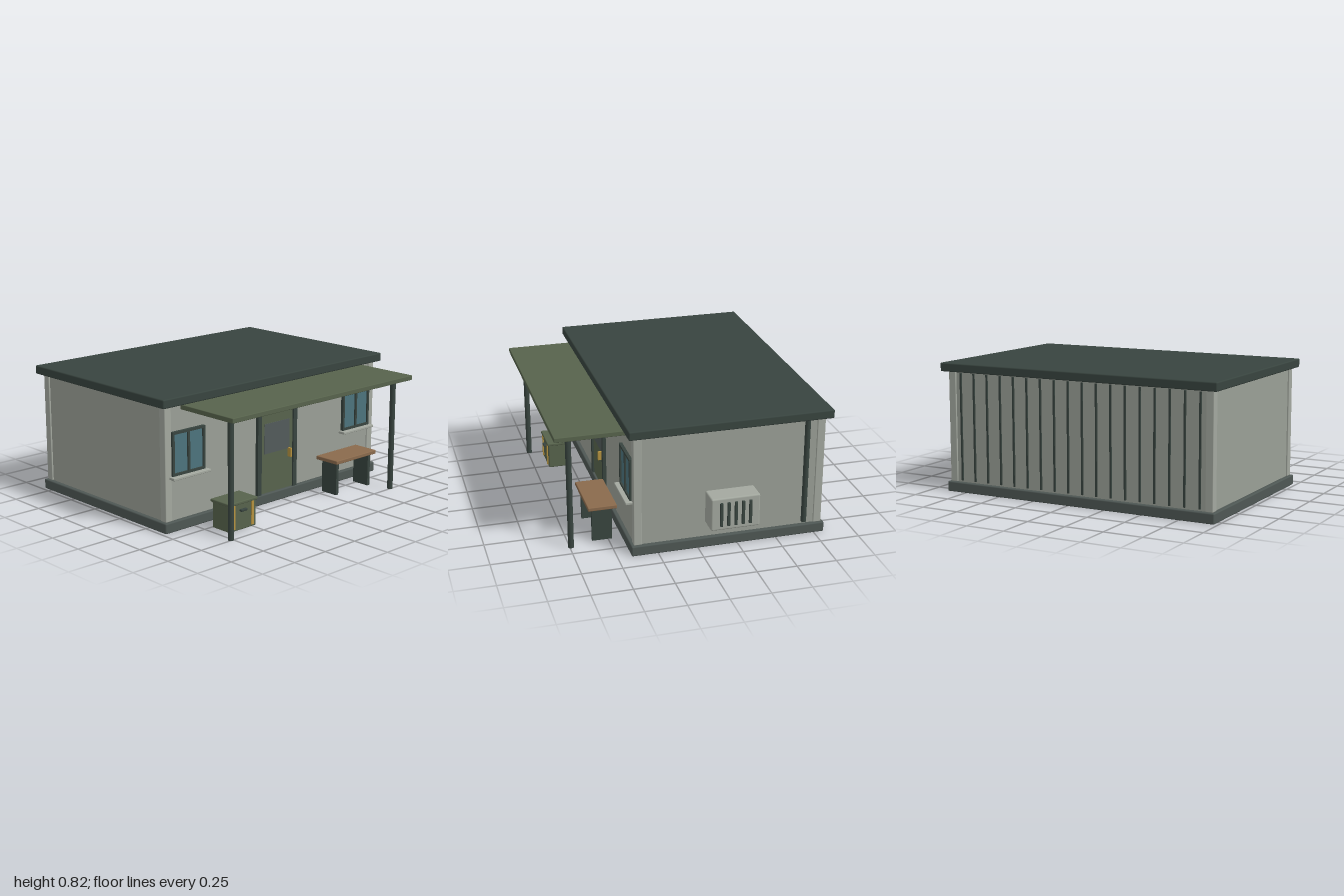
import * as THREE from 'three';
import { RoundedBoxGeometry } from 'three/addons/geometries/RoundedBoxGeometry.js';

const COLORS = {
  wall: 0x9a9f96, trim: 0xa3a89f, dark: 0x38443f, base: 0x4e5754, green: 0x57634c,
  wood: 0x8a6a4c, brass: 0xb5923f, glass: 0x4c737d, smoked: 0x525b5a,
};
const materials = Object.fromEntries(Object.entries(COLORS).map(
  ([key, color]) => [key, new THREE.MeshStandardMaterial({ color })]));

const CX = -0.048; // centre line of the building

// Box given by its limits on each axis; a radius rounds its edges.
function box(parent, name, mat, [x0, x1], [y0, y1], [z0, z1], radius = 0) {
  const size = [x1 - x0, y1 - y0, z1 - z0];
  const geometry = radius
    ? new RoundedBoxGeometry(...size, 2, radius)
    : new THREE.BoxGeometry(...size);
  const mesh = new THREE.Mesh(geometry, materials[mat]);
  mesh.position.set((x0 + x1) / 2, (y0 + y1) / 2, (z0 + z1) / 2);
  mesh.name = name;
  parent.add(mesh);
  return mesh;
}

// Upright round post.
function post(parent, name, mat, x, z, radius, y0, y1) {
  const mesh = new THREE.Mesh(new THREE.CylinderGeometry(radius, radius, y1 - y0, 20), materials[mat]);
  mesh.position.set(x, (y0 + y1) / 2, z);
  mesh.name = name;
  parent.add(mesh);
}

function group(parent, name) {
  const g = new THREE.Group();
  g.name = name;
  parent.add(g);
  return g;
}

const around = (c, half) => [c - half, c + half];

function addShell(root) {
  const shell = group(root, 'shell');
  box(shell, 'foundation', 'base', around(CX, 0.932), [0, 0.065], [-0.815, 0.415], 0.008);
  box(shell, 'walls', 'wall', around(CX, 0.906), [0.06, 0.775], [-0.788, 0.39]);
  box(shell, 'roof', 'dark', around(CX, 0.952), [0.77, 0.825], [-0.838, 0.432], 0.008);
  // corner trims
  for (const s of [-1, 1]) {
    for (const z of [-0.773, 0.373]) {
      box(shell, 'cornerTrim', 'trim', around(CX + s * 0.891, 0.025), [0.065, 0.77], around(z, 0.025), 0.004);
    }
  }
  // ribs on the back wall
  for (let i = 0; i < 18; i++) {
    const x = CX + (i - 8.5) * 0.0976;
    box(shell, 'backRib', 'dark', around(x, 0.006), [0.075, 0.76], [-0.797, -0.785]);
  }
  post(shell, 'downpipe', 'dark', 0.864, -0.685, 0.017, 0.08, 0.77);
}

function addCanopy(root) {
  const canopy = group(root, 'canopy');
  box(canopy, 'canopyRoof', 'green', around(CX, 0.787), [0.735, 0.765], [0.39, 0.838], 0.004);
  for (const s of [-1, 1]) {
    post(canopy, 'canopyPost', 'dark', CX + s * 0.713, 0.742, 0.018, 0, 0.737);
  }
  box(canopy, 'signBoard', 'dark', around(CX, 0.457), [0.66, 0.745], [0.385, 0.405], 0.003);
}

function addDoor(root) {
  const door = group(root, 'door');
  for (const s of [-1, 1]) {
    box(door, 'doorJamb', 'dark', around(CX + s * 0.157, 0.016), [0.065, 0.615], [0.385, 0.412]);
  }
  box(door, 'doorLintel', 'dark', around(CX, 0.173), [0.585, 0.615], [0.385, 0.412]);
  box(door, 'doorLeaf', 'green', around(CX, 0.142), [0.067, 0.586], [0.385, 0.401]);
  box(door, 'doorPane', 'smoked', around(CX, 0.11), [0.325, 0.52], [0.39, 0.405]);
  box(door, 'doorHandle', 'brass', around(0.058, 0.007), [0.27, 0.33], [0.4, 0.43], 0.003);
}

function addWindow(root, x) {
  const win = group(root, 'window');
  box(win, 'glass', 'glass', around(x, 0.12), [0.35, 0.6], [0.385, 0.4]);
  for (const dx of [-0.12, 0, 0.12]) {
    box(win, 'windowUpright', 'dark', around(x + dx, 0.008), [0.342, 0.612], [0.385, 0.41]);
  }
  for (const y of [0.35, 0.604]) {
    box(win, 'windowRail', 'dark', around(x, 0.128), around(y, 0.008), [0.385, 0.41]);
  }
  box(win, 'windowSill', 'trim', around(x, 0.146), [0.325, 0.342], [0.385, 0.44], 0.004);
}

function addVentUnit(root) {
  const unit = group(root, 'ventUnit');
  box(unit, 'ventCase', 'trim', [0.855, 0.988], [0.16, 0.37], [-0.353, -0.047], 0.01);
  for (let i = -2; i <= 2; i++) {
    box(unit, 'ventSlot', 'dark', [0.98, 1.0], [0.188, 0.342], around(-0.2 + i * 0.0455, 0.009), 0.003);
  }
}

function addCrate(root) {
  const crate = group(root, 'crate');
  const x = -0.583;
  box(crate, 'crateBody', 'green', around(x, 0.11), [0, 0.168], [0.505, 0.655], 0.008);
  box(crate, 'crateLid', 'green', around(x, 0.118), [0.163, 0.182], [0.497, 0.663], 0.006);
  for (const s of [-1, 1]) {
    box(crate, 'crateStrap', 'brass', around(x + s * 0.077, 0.01), [0.015, 0.165], [0.65, 0.662]);
  }
  box(crate, 'crateHandle', 'dark', around(x, 0.026), [0.118, 0.132], [0.65, 0.672], 0.004);
}

function addBench(root) {
  const bench = group(root, 'bench');
  box(bench, 'benchTop', 'wood', around(0.461, 0.19), [0.215, 0.24], [0.447, 0.627], 0.005);
  for (const s of [-1, 1]) {
    box(bench, 'benchLeg', 'dark', around(0.461 + s * 0.152, 0.011), [0, 0.218], [0.475, 0.6]);
  }
}

export function createModel() {
  const root = new THREE.Group();
  root.name = 'shed';
  addShell(root);
  addCanopy(root);
  addDoor(root);
  for (const s of [-1, 1]) addWindow(root, CX + s * 0.739);
  addVentUnit(root);
  addCrate(root);
  addBench(root);
  return root;
}
